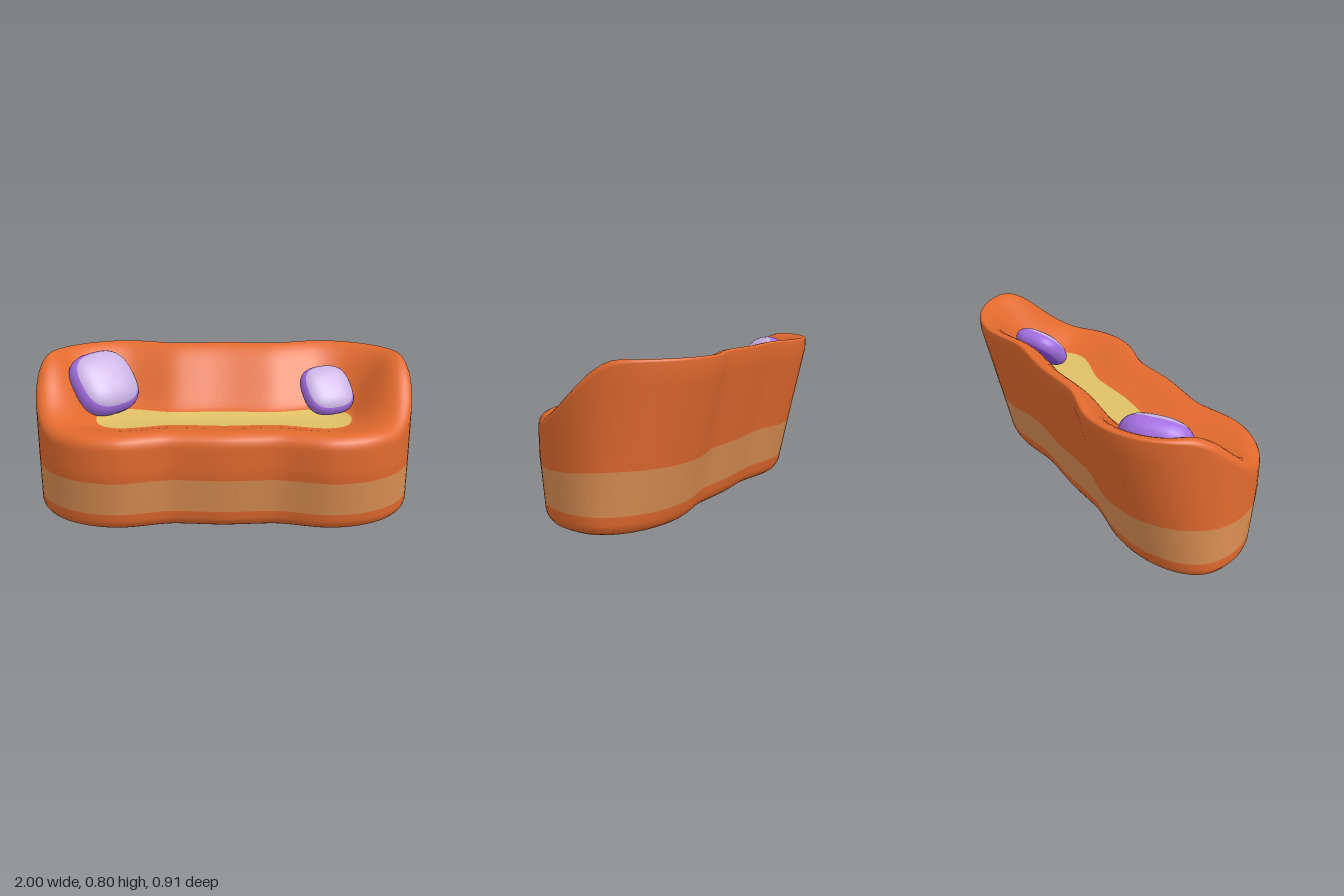
import * as THREE from 'three';

const mat = (name, color) => {
  const m = new THREE.MeshStandardMaterial({ color });
  m.name = name;
  return m;
};
const smooth = THREE.MathUtils.smoothstep;
const lerp = THREE.MathUtils.lerp;

// Joins closed rings of points, bottom to top; bands give [first ring step, step count, material index]
function loft(rings, bands) {
  const n = rings[0].length, index = [];
  for (let k = 0; k < rings.length - 1; k++) {
    for (let i = 0; i < n; i++) {
      const j = (i + 1) % n, a = k * n + i, b = k * n + j;
      index.push(a, a + n, b, b, a + n, b + n);
    }
  }
  const g = new THREE.BufferGeometry().setFromPoints(rings.flat());
  g.setIndex(index);
  bands.forEach(([start, count, m]) => g.addGroup(start * n * 6, count * n * 6, m));
  g.computeVertexNormals();
  return g;
}

// Half depth of the waisted plan along its long axis
function halfDepth(x) {
  const a = Math.abs(x);
  return 0.395 + 0.06 * smooth(a, 0.25, 0.55) + 0.017 * (1 - smooth(a, 0, 0.27));
}

// Plan outline as spokes: foot on the long axis, direction and length
function makeSpokes() {
  const spokes = [], E = 0.545, caps = 28, mid = 32;
  for (const side of [1, -1]) {
    for (let i = 0; i < caps; i++) {
      const a = (i / caps - 0.5) * Math.PI;
      spokes.push({ x: side * E, nx: side * Math.cos(a), nz: side * Math.sin(a), r: 0.455 });
    }
    for (let i = 0; i < mid; i++) {
      const x = side * lerp(E, -E, i / mid);
      spokes.push({ x, nx: 0, nz: side, r: halfDepth(x) });
    }
  }
  return spokes;
}

function makeSofaBody(materials) {
  const SEAT = 0.465;
  const spokes = makeSpokes();
  // Rim height climbs from the low front to the high back
  for (const s of spokes) {
    s.rim = lerp(0.804, 0.516, smooth(s.nz * (s.r - 0.04), -0.18, 0.31));
    s.lip = 1 - 0.8 * smooth(-s.nz, -0.3, 0.7);
    s.band = lerp(0.305, 0.275, smooth(s.nz * s.r, -0.25, 0.3));
  }
  // The walls lean in towards the floor at front and back
  const lean = (nz, y) => Math.min(1, nz > 0 ? 0.9 + 0.31 * y : (0.272 + 0.246 * y) / 0.455);
  const ring = (inset, height, leaning = true) => spokes.map((s) => {
    const y = height(s), r = s.r - inset(s);
    return new THREE.Vector3(s.x + s.nx * r, y, s.nz * r * (leaning ? lean(s.nz, y) : 1));
  });
  const flat = (v) => () => v;

  const rings = [ring((s) => s.r, flat(0)), ring(flat(0.06), flat(0))];
  for (const [d, y] of [[0.04, 0.003], [0.02, 0.013], [0.006, 0.033], [0, 0.055], [0, 0.095]]) {
    rings.push(ring(flat(d), flat(y)));
  }
  const bandStart = rings.length - 1;
  rings.push(ring(flat(0), (s) => lerp(0.095, s.band, 0.5)), ring(flat(0), (s) => s.band));
  const wallStart = rings.length - 1;
  for (let i = 1; i <= 9; i++) {
    rings.push(ring(flat(0), (s) => lerp(s.band, s.rim - 0.06 * s.lip, i / 9)));
  }
  // Rolled lip
  for (let i = 1; i <= 5; i++) {
    const a = i / 5 * Math.PI / 2;
    rings.push(ring((s) => 0.065 * s.lip * (1 - Math.cos(a)),
      (s) => s.rim - 0.06 * s.lip * (1 - Math.sin(a))));
  }
  // Hollow inner slope, easing into the seat
  const drop = (t) => (s) => lerp(s.rim, SEAT, smooth(t, 0, 1));
  for (let i = 1; i <= 12; i++) {
    const t = i / 12;
    rings.push(ring((s) => lerp(0.065 * s.lip, 0.31, t), drop(0.86 * t), false));
  }
  const seatStart = rings.length - 1;
  rings.push(ring((s) => lerp(0.31, s.r, 0.5), drop(0.94), false));
  rings.push(ring((s) => s.r, flat(SEAT), false));

  const mesh = new THREE.Mesh(loft(rings, [
    [0, bandStart, 0],
    [bandStart, wallStart - bandStart, 1],
    [wallStart, seatStart - wallStart, 0],
    [seatStart, 2, 2],
  ]), materials);
  mesh.name = 'sofaBody';
  return mesh;
}

// Plump rounded-square cushion with a paler front panel and a deeper back
function makeCushion(name, half, thick, position, facing, twist, materials) {
  const rings = [], steps = 16, n = 40;
  for (let k = 0; k <= steps; k++) {
    const p = (k / steps - 0.5) * Math.PI;
    const w = half * Math.pow(Math.max(0, Math.cos(p)), 0.7);
    rings.push(Array.from({ length: n }, (_, i) => {
      const a = i / n * Math.PI * 2, c = Math.cos(a), s = Math.sin(a);
      const q = w * Math.pow(Math.abs(c) ** 2.8 + Math.abs(s) ** 2.8, -1 / 2.8);
      return new THREE.Vector3(c * q, thick / 2 * Math.sin(p), s * q);
    }));
  }
  const mesh = new THREE.Mesh(loft(rings, [[0, 5, 0], [5, 6, 1], [11, 5, 2]]), materials);
  mesh.name = name;
  mesh.position.set(...position);
  mesh.quaternion.setFromUnitVectors(new THREE.Vector3(0, 1, 0),
    new THREE.Vector3(...facing).normalize());
  mesh.rotateY(twist);
  return mesh;
}

export function createModel() {
  const group = new THREE.Group();
  group.name = 'sofa';
  const upholstery = mat('orange upholstery', 0xe26a2e);
  const band = mat('tan band', 0xdb8f53);
  const seat = mat('yellow seat', 0xdfc066);
  const back = mat('violet cushion back', 0x8a4be0);
  const edge = mat('purple cushion edge', 0xa46fe2);
  const panel = mat('lavender cushion panel', 0xc9b2e2);
  const cushion = [back, edge, panel];

  group.add(makeSofaBody([upholstery, band, seat]));
  group.add(makeCushion('largeCushion', 0.185, 0.2, [-0.66, 0.635, -0.14], [0.47, 0.64, 0.6], 0.75, cushion));
  group.add(makeCushion('smallCushion', 0.145, 0.14, [0.565, 0.6, -0.12], [0.25, 0.68, 0.68], 0.4, cushion));
  return group;
}
